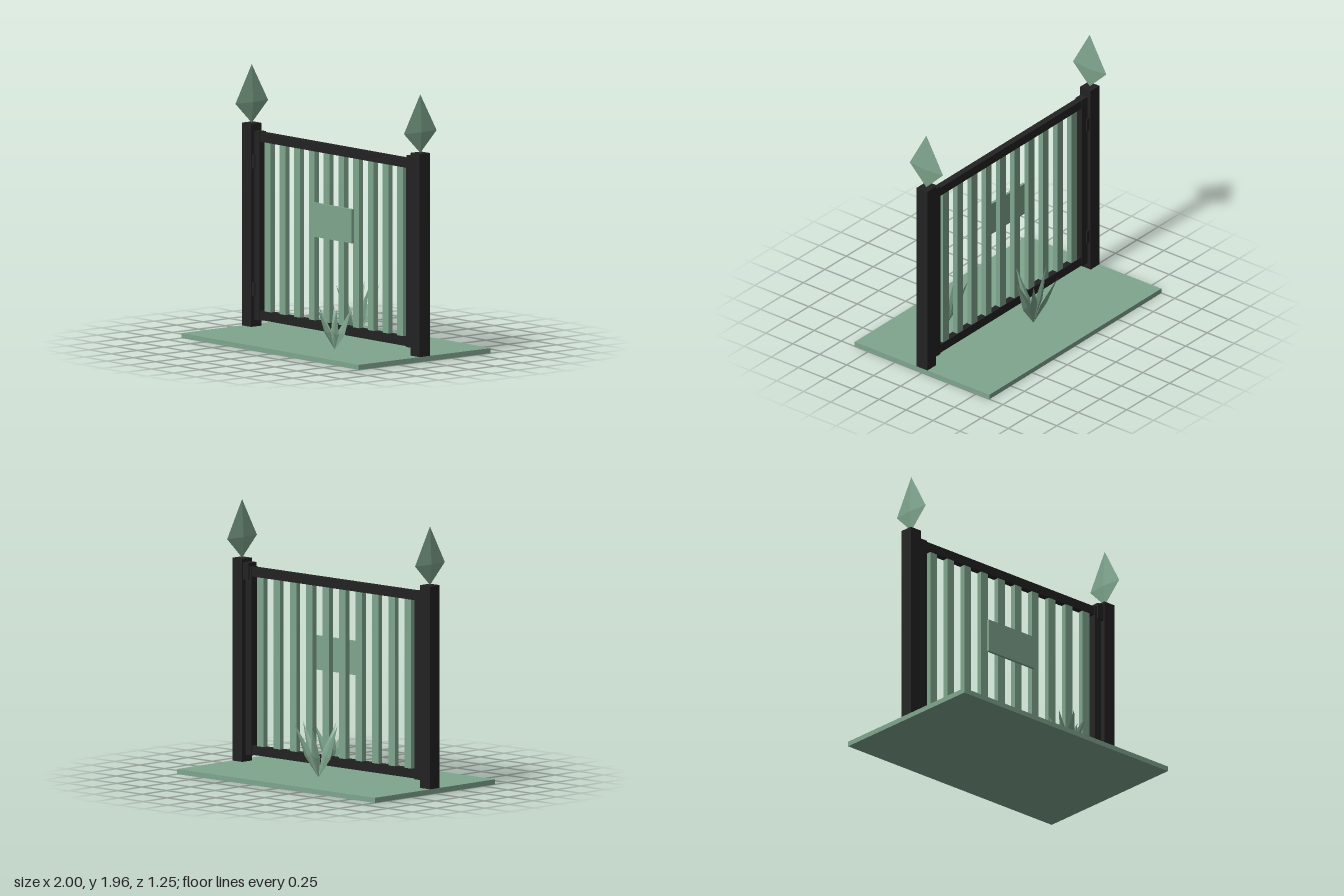
import * as THREE from 'three';

export function createModel() {
  const model = new THREE.Group();
  const green = new THREE.MeshStandardMaterial({ color: 0x7fa68e });
  green.name = 'sage green';
  const black = new THREE.MeshStandardMaterial({ color: 0x222222 });
  black.name = 'iron black';

  // Box given by its x, y and z ranges
  function box(name, material, [x0, x1], [y0, y1], [z0, z1]) {
    const mesh = new THREE.Mesh(new THREE.BoxGeometry(x1 - x0, y1 - y0, z1 - z0), material);
    mesh.position.set((x0 + x1) / 2, (y0 + y1) / 2, (z0 + z1) / 2);
    mesh.name = name;
    model.add(mesh);
    return mesh;
  }

  // Thin faceted kite standing on its lower point
  function kite(name, length, halfWidth, halfThickness, shoulder) {
    const geometry = new THREE.OctahedronGeometry(1);
    const p = geometry.attributes.position;
    for (let i = 0; i < p.count; i++) {
      const y = p.getY(i);
      const height = shoulder + y * (y > 0 ? 1 - shoulder : shoulder);
      p.setXYZ(i, p.getX(i) * halfWidth, height * length, p.getZ(i) * halfThickness);
    }
    geometry.computeVertexNormals();
    const mesh = new THREE.Mesh(geometry, green);
    mesh.name = name;
    return mesh;
  }

  // Ground slab
  box('base', green, [-1, 1], [0, 0.037], [-0.625, 0.625]);

  // Posts, finials and gate stiles, mirrored
  for (const side of [-1, 1]) {
    const c = side * 0.95;
    box('post', black, [c - 0.05, c + 0.05], [0.037, 1.525], [-0.05, 0.05]);
    const finial = kite('finial', 0.43, 0.155, 0.016, 0.355);
    finial.position.set(c, 1.525, 0);
    finial.rotation.y = Math.PI / 2;
    model.add(finial);
    const s = side * 0.855;
    box('gateStile', black, [s - 0.03, s + 0.03], [0.09, 1.475], [-0.03, 0.03]);
  }

  // Gate rails
  box('topRail', black, [-0.83, 0.83], [1.403, 1.47], [-0.025, 0.025]);
  box('bottomRail', black, [-0.83, 0.83], [0.095, 0.162], [-0.025, 0.025]);

  // Hinges and latch
  for (const y of [0.265, 1.2]) {
    box('hinge', black, [-0.91, -0.87], [y, y + 0.1], [-0.04, 0.04]);
  }
  box('latch', black, [0.845, 0.91], [1.375, 1.5], [-0.042, 0.042]);

  // Gate bars
  for (let i = 0; i < 10; i++) {
    const x = (i - 4.5) * 0.166;
    box('gateBar', green, [x - 0.033, x + 0.033], [0.16, 1.405], [-0.02, 0.02]);
  }

  // Blank plate on the front of the bars
  box('signPlate', green, [-0.225, 0.225], [0.78, 1.03], [0.02, 0.04]);

  // Plant: flat leaves fanning from one root to tips given as [x, z]
  function plant(name, root, tipHeight, tips, halfWidth) {
    const group = new THREE.Group();
    group.name = name;
    group.position.copy(root);
    for (const [x, z] of tips) {
      const along = new THREE.Vector3(x, tipHeight, z).sub(root);
      const leaf = kite('leaf', along.length(), halfWidth, 0.012, 0.42);
      along.normalize();
      const across = new THREE.Vector3(1, 0, 0).addScaledVector(along, -along.x).normalize();
      const facing = new THREE.Vector3().crossVectors(across, along);
      leaf.quaternion.setFromRotationMatrix(new THREE.Matrix4().makeBasis(across, along, facing));
      group.add(leaf);
    }
    model.add(group);
  }

  plant('frontPlant', new THREE.Vector3(0.325, 0.037, 0.285), 0.345,
    [[0.214, 0.2], [0.46, 0.243], [0.433, 0.361], [0.278, 0.408], [0.198, 0.329]], 0.038);
  plant('backPlant', new THREE.Vector3(-0.03, 0.037, -0.212), 0.432,
    [[-0.118, -0.37], [0.107, -0.323], [0.144, -0.195], [-0.043, -0.04], [-0.205, -0.195]], 0.043);

  return model;
}
